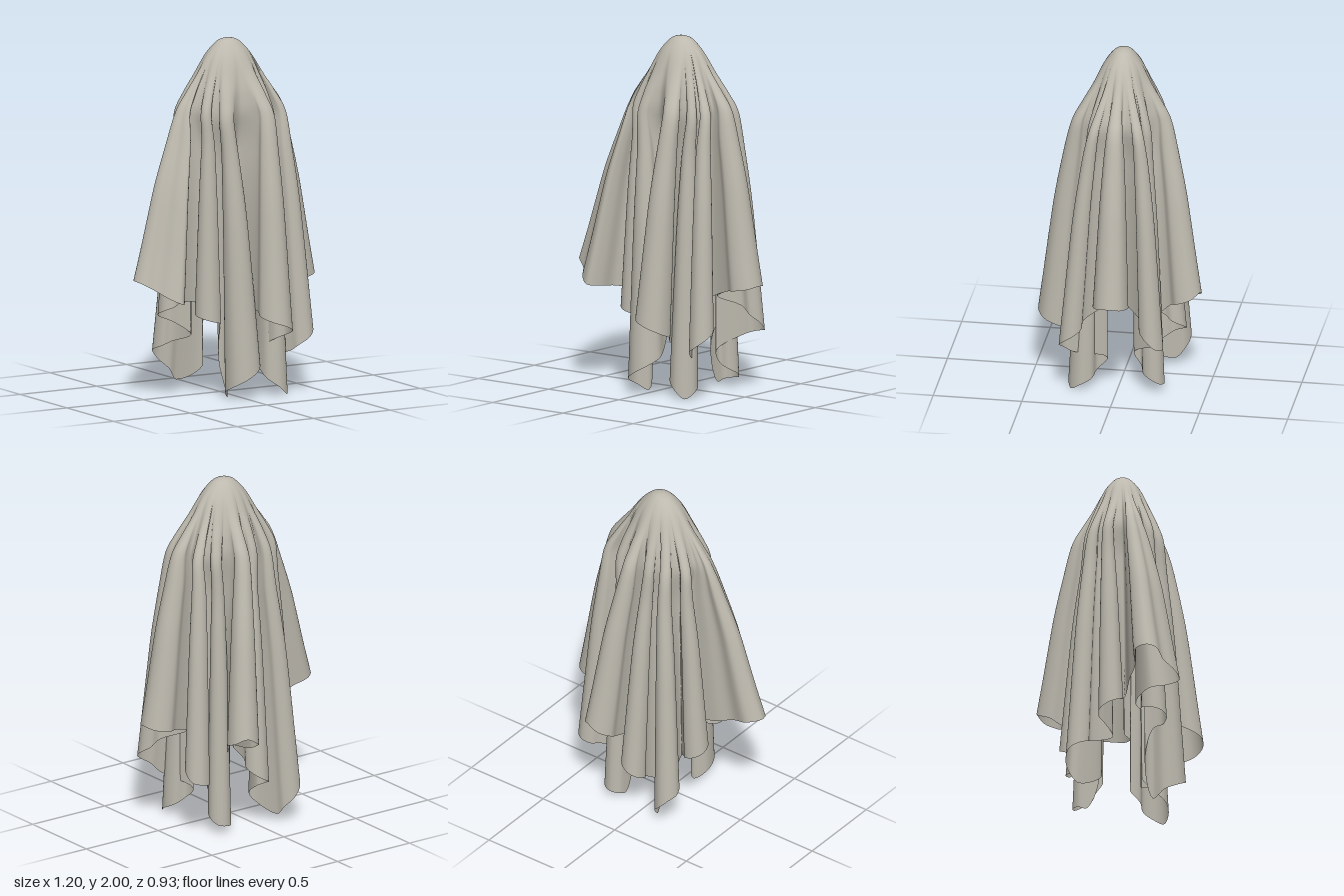
import * as THREE from 'three';

const APEX_X = 0.05;

// Folds in order around the cloth.
// hem: x, z, radius; y: hem height entering / middle / leaving; top: x, z where the fold leaves the shoulders
const FOLDS = [
  { hem: [0.5, 0, 0.1], y: [0.6, 0.64, 0.6], top: [0.35, 0, 0.05] },
  { hem: [0.38, 0.24, 0.07], y: [0.46, 0.35, 0.24], top: [0.31, 0.13, 0.035], valley: [0.21, 0.06] },
  { hem: [0.225, 0.2, 0.08], y: [0.1, 0, 0.14], top: [0.22, 0.14, 0.03] },
  { hem: [0.135, 0.365, 0.1], y: [0.32, 0.42, 0.5], top: [0.16, 0.235, 0.045] },
  { hem: [-0.005, 0.25, 0.1], y: [0.25, 0.12, 0], top: [-0.065, 0.18, 0.035] },
  { hem: [-0.17, 0.15, 0.075], y: [0.41, 0.46, 0.5], top: [-0.15, 0.12, 0.03] },
  { wide: true, top: [-0.25, 0.03] }, // wide double fold on the right side
  { hem: [-0.265, -0.1, 0.07], y: [0.52, 0.45, 0.38], top: [-0.19, -0.11, 0.03] },
  { hem: [-0.195, -0.275, 0.07], y: [0.27, 0.2, 0.04], top: [-0.1, -0.18, 0.035] },
  { hem: [0.03, -0.285, 0.07], y: [0.22, 0.3, 0.4], top: [0, -0.18, 0.03] },
  { hem: [0.19, -0.375, 0.09], y: [0.5, 0.61, 0.52], top: [0.09, -0.235, 0.045] },
  { hem: [0.22, -0.195, 0.065], y: [0.02, 0.05, 0.14], top: [0.2, -0.15, 0.03] },
  { hem: [0.385, -0.21, 0.07], y: [0.3, 0.34, 0.48], top: [0.31, -0.13, 0.035] },
];
const WIDE_HEM = [
  [-0.33, 0.55, 0.11], [-0.36, 0.56, 0.21], [-0.41, 0.57, 0.27], [-0.47, 0.6, 0.235], [-0.52, 0.64, 0.165],
  [-0.585, 0.68, 0.12], [-0.6, 0.69, 0.06], [-0.54, 0.68, 0.0], [-0.43, 0.64, 0.02], [-0.33, 0.6, 0.0],
];

const { lerp, smoothstep, degToRad } = THREE.MathUtils;

// Closed curve through all folds at the 'hem' or 'top' level, with a turning angle per control point
function makeOutline(level) {
  const n = FOLDS.length, points = [], turns = [], atHem = level === 'hem';
  const angles = FOLDS.map((f) => {
    const [x, z] = f[level] || [-0.52, 0.1];
    const a = Math.atan2(z, x - APEX_X);
    return a < -0.01 ? a + Math.PI * 2 : a;
  });
  const folds = FOLDS.map((f, i) => {
    if (f.wide) {
      return WIDE_HEM.map(([x, y, z]) => (atHem ? new THREE.Vector3(x, y, z)
        : new THREE.Vector3(f.top[0] + (x + 0.45) * 0.3, y, f.top[1] + (z - 0.12) * 0.4)));
    }
    const [x, z, r] = f[level];
    return [-140, -95, -45, 0, 45, 95, 140].map((deg, k) => {
      const a = angles[i] + degToRad(deg);
      const y = k < 3 ? lerp(f.y[0], f.y[1], k / 3) : lerp(f.y[1], f.y[2], (k - 3) / 3);
      return new THREE.Vector3(x + r * Math.cos(a), y, z + r * Math.sin(a));
    });
  });
  folds.forEach((pts, i) => {
    const next = angles[(i + 1) % n] + (i === n - 1 ? Math.PI * 2 : 0);
    const prev = angles[(i + n - 1) % n] - (i === 0 ? Math.PI * 2 : 0);
    const start = (prev + angles[i]) / 2, end = (angles[i] + next) / 2;
    pts.forEach((p, k) => {
      const t = (k + 1) / (pts.length + 1);
      points.push(p);
      turns.push(t < 0.5 ? lerp(start, angles[i], t * 2) : lerp(angles[i], end, t * 2 - 1));
    });
    // valley before the next fold
    const y = (pts[pts.length - 1].y + folds[(i + 1) % n][0].y) / 2;
    const deep = atHem && FOLDS[i].valley;
    const [x, z] = deep || [APEX_X + 0.23 * Math.cos(end), 0.135 * Math.sin(end)];
    points.push(new THREE.Vector3(x, y, z));
    turns.push(end);
  });
  turns.push(turns[0] + Math.PI * 2);
  return { curve: new THREE.CatmullRomCurve3(points, true, 'centripetal'), turns };
}

// Outward spread against height, from the crown to the hem
const SHOULDER = 0.61;
const PROFILE = new THREE.SplineCurve([
  [0, 2], [0.06, 1.995], [0.13, 1.975], [0.24, 1.91], [0.37, 1.8], [0.5, 1.7], [SHOULDER, 1.6], [0.7, 1.42],
  [0.8, 1.2], [0.87, 1.0], [0.93, 0.82], [1, 0.62],
].map((p) => new THREE.Vector2(...p)));

function makeCloth() {
  const { curve, turns } = makeOutline('top');
  const hemCurve = makeOutline('hem').curve;
  const step = 5, cols = (turns.length - 1) * step, rows = 60;
  const strands = [];
  for (let c = 0; c < cols; c++) {
    const i = Math.floor(c / step);
    strands.push({
      hem: hemCurve.getPoint(c / cols), top: curve.getPoint(c / cols),
      angle: lerp(turns[i], turns[i + 1], (c % step) / step),
    });
  }
  const pos = [APEX_X, 2, 0], index = [];
  for (let r = 1; r <= rows; r++) {
    const { x: spread, y } = PROFILE.getPoint(r / rows);
    const k = Math.min(1, Math.max(0, (2 - y) / 1.38));
    const w = smoothstep(k, 0, 0.42); // smooth crown turning into folds
    const gather = Math.min(1, spread / SHOULDER);
    const fall = Math.max(0, (spread - SHOULDER) / (1 - SHOULDER));
    for (const { hem, top, angle } of strands) {
      const dx = lerp(spread * 0.56 * Math.cos(angle), gather * (lerp(top.x, hem.x, fall) - APEX_X), w);
      const dz = lerp(spread * 0.45 * Math.sin(angle), gather * lerp(top.z, hem.z, fall), w);
      pos.push(APEX_X + dx, Math.max(0, y - (0.62 - hem.y) * k * k), dz);
    }
  }
  const at = (r, c) => 1 + (r - 1) * cols + (c % cols);
  for (let c = 0; c < cols; c++) {
    index.push(0, at(1, c + 1), at(1, c));
    for (let r = 1; r < rows; r++) {
      index.push(at(r, c), at(r, c + 1), at(r + 1, c));
      index.push(at(r, c + 1), at(r + 1, c + 1), at(r + 1, c));
    }
  }
  const geo = new THREE.BufferGeometry();
  geo.setAttribute('position', new THREE.Float32BufferAttribute(pos, 3));
  geo.setIndex(index);
  geo.computeVertexNormals();
  return geo;
}

export function createModel() {
  const group = new THREE.Group();
  group.name = 'drapedSheet';
  const linen = new THREE.MeshStandardMaterial({ color: 0xbdb9ae, side: THREE.DoubleSide });
  linen.name = 'linen';
  const cloth = new THREE.Mesh(makeCloth(), linen);
  cloth.name = 'cloth';
  group.add(cloth);
  return group;
}
